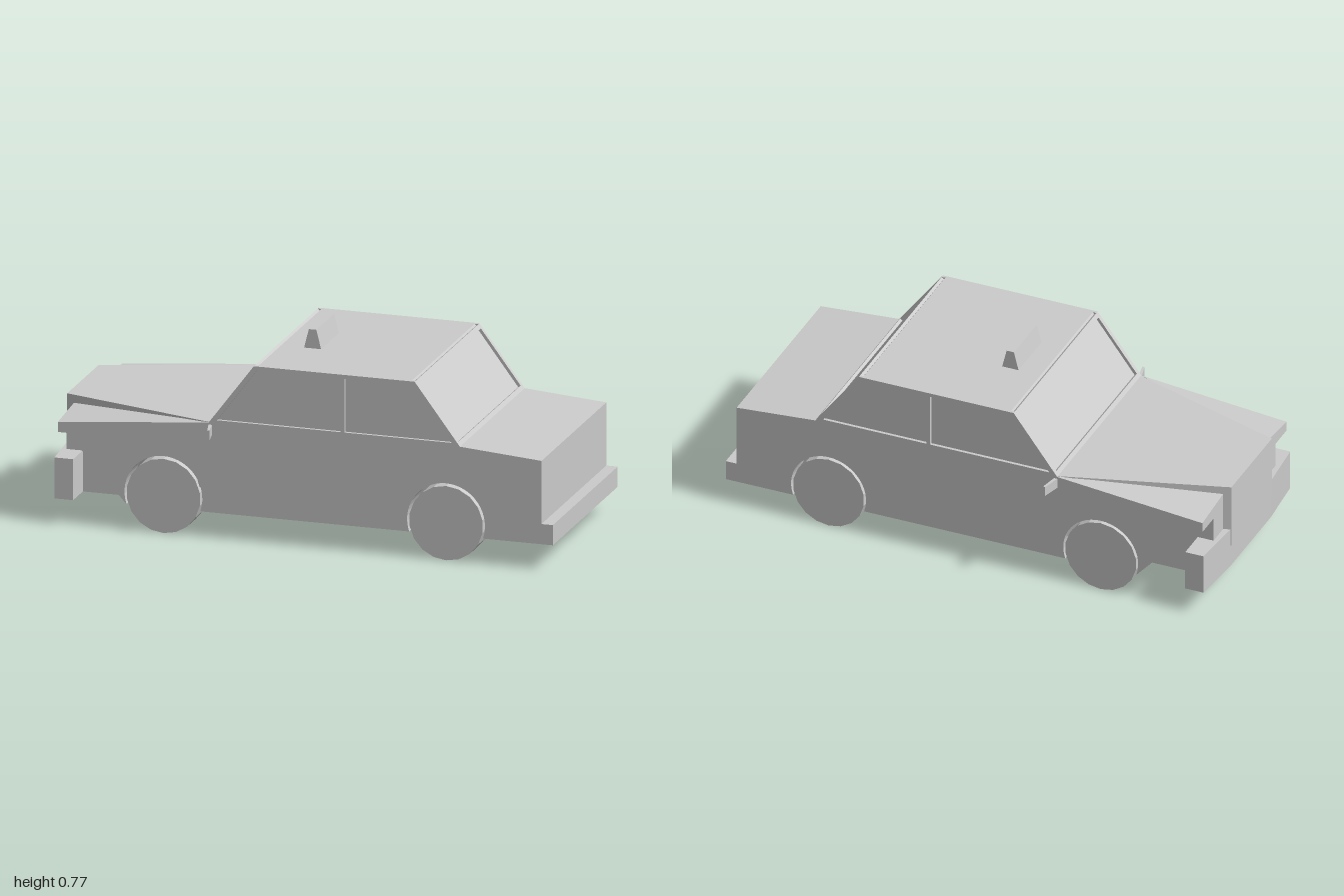
import * as THREE from 'three';

const HALF = 0.395, SKIN = 0.012, WELL = 0.29;
const AXLES = [-0.55, 0.575];

export function createModel() {
  const car = new THREE.Group();
  const mat = new THREE.MeshStandardMaterial({ color: 0xcccccc, flatShading: true });

  const add = (name, geo, x = 0, y = 0, z = 0) => {
    const m = new THREE.Mesh(geo, mat);
    m.name = name;
    m.position.set(x, y, z);
    car.add(m);
    return m;
  };
  const poly = (pts, Type = THREE.Shape) => new Type(pts.map(p => new THREE.Vector2(...p)));
  const extrude = (shape, depth) =>
    new THREE.ExtrudeGeometry(shape, { depth, bevelEnabled: false, curveSegments: 14 });

  // Solid from a top outline (counter-clockwise seen from above) down to a flat bottom
  const prism = (top, bottomY) => {
    const n = top.length, v = [], tri = (a, b, c) => v.push(...a, ...b, ...c);
    const low = top.map(([x, , z]) => [x, bottomY, z]);
    for (let i = 0; i < n; i++) {
      const j = (i + 1) % n;
      tri(low[i], low[j], top[j]);
      tri(low[i], top[j], top[i]);
      if (i > 0 && i < n - 1) {
        tri(top[0], top[i], top[i + 1]);
        tri(low[0], low[i + 1], low[i]);
      }
    }
    const g = new THREE.BufferGeometry();
    g.setAttribute('position', new THREE.Float32BufferAttribute(v, 3));
    g.computeVertexNormals();
    return g;
  };

  // Side profile of the body; inset pulls the windscreens inwards
  const profile = (inset, arches) => {
    const s = new THREE.Shape();
    s.moveTo(-0.97, 0.1);
    if (arches) {
      const a = Math.asin(0.05 / 0.155);
      AXLES.forEach(x => s.absarc(x, 0.15, 0.155, Math.PI + a, -a, true));
    }
    [[0.955, 0.1], [0.955, 0.43], [0.63, 0.455], [0.63 - inset, 0.455], [0.45 - inset, 0.695],
      [-0.19 + inset, 0.695], [-0.37 + inset, 0.455], [-0.37, 0.455], [-0.97, 0.4]]
      .forEach(p => s.lineTo(...p));
    s.closePath();
    return s;
  };

  // Body: full centre, slabs with wheel wells, outer skins with recessed windows
  const inset = SKIN / 0.8;
  add('bodyCore', extrude(profile(inset, false), 2 * WELL), 0, 0, -WELL);
  const skin = profile(0, true);
  skin.holes.push(
    poly([[-0.337, 0.467], [-0.178, 0.68], [0.155, 0.68], [0.155, 0.467]], THREE.Path),
    poly([[0.17, 0.467], [0.17, 0.68], [0.438, 0.68], [0.597, 0.467]], THREE.Path));
  const slabGeo = extrude(profile(inset, true), HALF - SKIN - WELL);
  const skinGeo = extrude(skin, SKIN);
  for (const [side, zSlab, zSkin] of [['left', WELL, HALF - SKIN], ['right', SKIN - HALF, -HALF]]) {
    add(side + 'BodySlab', slabGeo, 0, 0, zSlab);
    add(side + 'BodySide', skinGeo, 0, 0, zSkin);
  }

  // Windscreen frames, lying on the sloped ends of the cabin
  const w = HALF - SKIN, len = 0.3;
  const frame = poly([[-w, 0], [w, 0], [w, len], [-w, len]]);
  frame.holes.push(poly([[-0.378, 0.018], [-0.378, 0.282], [0.378, 0.282], [0.378, 0.018]], THREE.Path));
  const frameGeo = extrude(frame, SKIN);
  for (const [name, d, x] of [['windscreenFrame', 1, -0.37], ['rearWindowFrame', -1, 0.63]]) {
    const slope = new THREE.Vector3(0.6 * d, 0.8, 0), normal = new THREE.Vector3(-0.8 * d, 0.6, 0);
    const m = add(name, frameGeo);
    m.quaternion.setFromRotationMatrix(
      new THREE.Matrix4().makeBasis(new THREE.Vector3(0, 0, d), slope, normal));
    m.position.set(x, 0.455, 0).addScaledVector(normal, -SKIN);
  }

  // Raised bonnet with its front grille face, widening to the windscreen
  add('bonnet', prism([[-1, 0.45, -0.19], [-1, 0.45, 0.19], [-0.37, 0.456, 0.39], [-0.37, 0.456, -0.39]], 0.19));

  // Front bumper, slightly pointed and wrapped around the corners
  add('frontBumper', prism([[-0.98, 0.262, -0.408], [-0.997, 0.262, -0.19], [-0.997, 0.262, 0.19],
    [-0.98, 0.262, 0.408], [-0.905, 0.262, 0.408], [-0.905, 0.262, -0.408]], 0.1));
  add('rearBumper', new THREE.BoxGeometry(0.08, 0.08, 2 * HALF), 0.96, 0.14, 0);

  // Roof sign
  add('roofSign', extrude(poly([[-0.085, 0.69], [-0.015, 0.69], [-0.035, 0.77], [-0.065, 0.77]]), 0.216), 0, 0, -0.108);

  // Mirrored parts: fender tops, door mirrors and wheels
  const wheelGeo = new THREE.CylinderGeometry(0.147, 0.147, 0.102, 18).rotateX(Math.PI / 2);
  for (const [side, k] of [['left', 1], ['right', -1]]) {
    const top = [[-0.97, 0.42, 0.18 * k], [-0.97, 0.4, HALF * k], [-0.37, 0.455, HALF * k]];
    add(side + 'FenderTop', prism(k > 0 ? top : top.reverse(), 0.36));

    const mirror = [[-0.372, 0.447, 0.39 * k], [-0.352, 0.447, 0.467 * k],
      [-0.343, 0.447, 0.467 * k], [-0.358, 0.447, 0.39 * k]];
    add(side + 'DoorMirror', prism(k > 0 ? mirror : mirror.reverse(), 0.407));

    AXLES.forEach((x, i) => add(side + (i ? 'RearWheel' : 'FrontWheel'), wheelGeo, x, 0.147, 0.344 * k));
  }
  return car;
}
